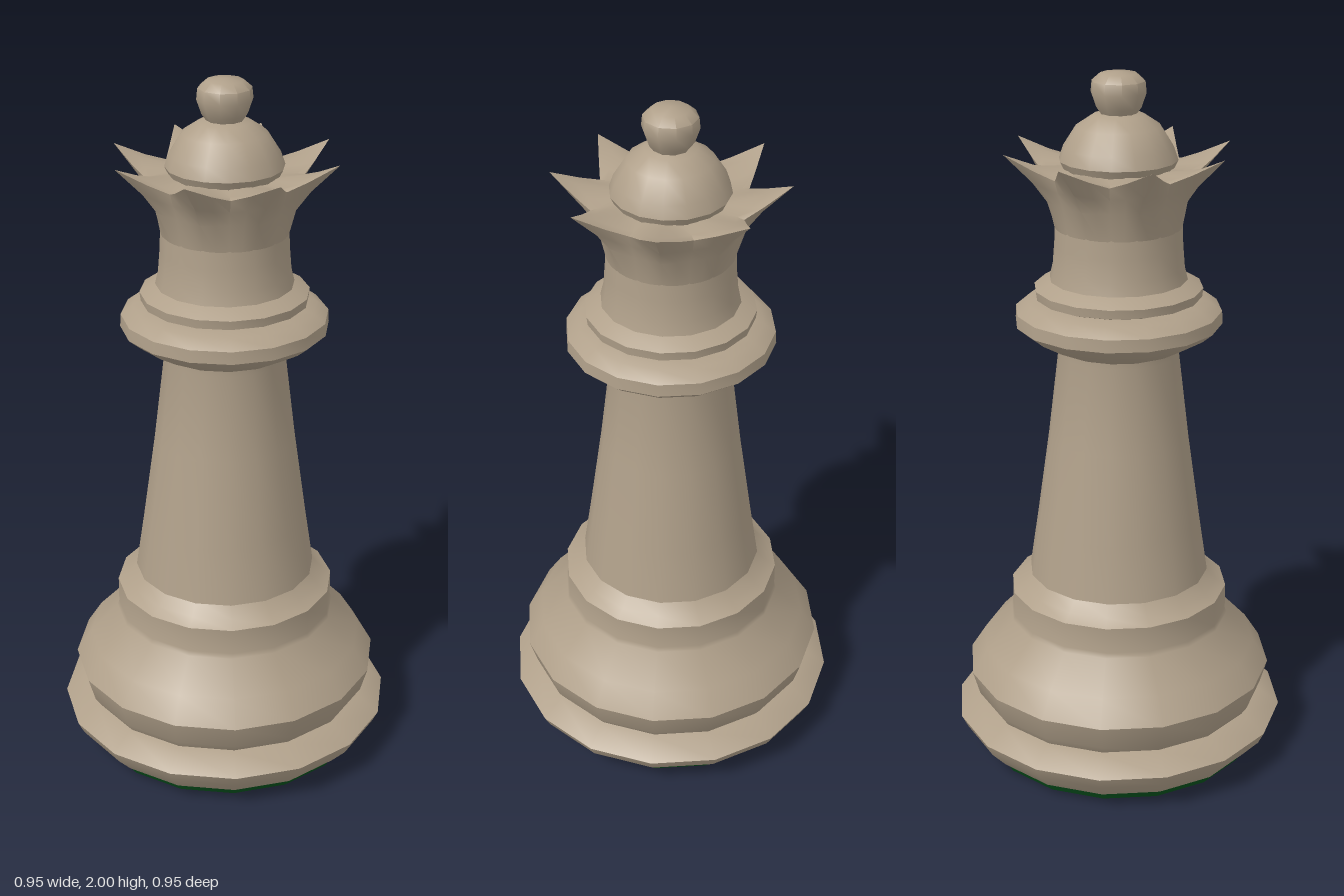
import * as THREE from 'three';
import { toCreasedNormals } from 'three/addons/utils/BufferGeometryUtils.js';

const wood = new THREE.MeshStandardMaterial({ color: 0xb0a08a });
wood.name = 'pale wood';
const felt = new THREE.MeshStandardMaterial({ color: 0x06501c });
felt.name = 'green felt';

const PHASE = THREE.MathUtils.degToRad(8.5);

// Profile of [radius, height] pairs, listed bottom to top
function turned(name, profile, segments = 16, material = wood, crease = 0.6) {
  const points = profile.map(([r, y]) => new THREE.Vector2(r, y));
  const geometry = new THREE.LatheGeometry(points, segments, PHASE);
  const mesh = new THREE.Mesh(toCreasedNormals(geometry, crease), material);
  mesh.name = name;
  return mesh;
}

// Flared crown: each row gives radius and height in the valley and at the tip
function makeCrown() {
  const rows = [
    { valley: [0.175, 1.58], tip: [0.175, 1.58] },
    { valley: [0.19, 1.66], tip: [0.2, 1.66] },
    { valley: [0.205, 1.7], tip: [0.24, 1.715] },
    { valley: [0.215, 1.735], tip: [0.318, 1.795] },
    { valley: [0.195, 1.738], tip: [0.25, 1.765] },
    { valley: [0.14, 1.745], tip: [0.14, 1.745] },
  ];
  const segments = 32;
  const geometry = new THREE.LatheGeometry(
    rows.map((row) => new THREE.Vector2(...row.valley)), segments, PHASE);
  const pos = geometry.attributes.position;
  for (let i = 0; i <= segments; i++) {
    const angle = PHASE + (i / segments) * Math.PI * 2;
    const weight = [1, 0.36, 0, 0.36][i % 4]; // eight points
    rows.forEach(({ valley, tip }, j) => {
      const r = THREE.MathUtils.lerp(valley[0], tip[0], weight);
      const y = THREE.MathUtils.lerp(valley[1], tip[1], weight);
      pos.setXYZ(i * rows.length + j, r * Math.sin(angle), y, r * Math.cos(angle));
    });
  }
  const mesh = new THREE.Mesh(toCreasedNormals(geometry, 0.6), wood);
  mesh.name = 'crown';
  return mesh;
}

export function createModel() {
  const model = new THREE.Group();
  model.name = 'chessQueen';
  model.add(
    // Felt pad under the foot
    turned('feltPad', [[0, 0], [0.395, 0.005], [0.415, 0.04], [0, 0.04]], 16, felt),
    // Foot rim
    turned('footRim', [[0, 0.035], [0.42, 0.035], [0.465, 0.085], [0.482, 0.12], [0.42, 0.165], [0.3, 0.17]]),
    // Bulging base and the step above it
    turned('base', [[0.405, 0.16], [0.425, 0.19], [0.445, 0.26], [0.4, 0.33], [0.32, 0.415],
      [0.315, 0.43], [0.315, 0.505], [0.285, 0.525], [0.255, 0.56], [0.2, 0.57]]),
    // Tapered stem
    turned('stem', [[0.262, 0.54], [0.235, 0.72], [0.2, 0.97], [0.17, 1.22], [0.175, 1.27]]),
    // Wide collar
    turned('collar', [[0.165, 1.235], [0.2, 1.25], [0.26, 1.285], [0.29, 1.31], [0.288, 1.345],
      [0.255, 1.37], [0.2, 1.38], [0.1, 1.38]]),
    // Thin ring above the collar
    turned('upperRing', [[0.19, 1.37], [0.232, 1.385], [0.235, 1.41], [0.2, 1.43], [0.15, 1.45]]),
    // Neck
    turned('neck', [[0.195, 1.42], [0.183, 1.47], [0.178, 1.53], [0.175, 1.6]]),
    makeCrown(),
    // Domed cap inside the crown
    turned('dome', [[0.145, 1.73], [0.162, 1.765], [0.15, 1.8], [0.115, 1.855], [0.07, 1.885], [0, 1.9]]),
    // Finial ball
    turned('finial', [[0.04, 1.875], [0.062, 1.905], [0.076, 1.945], [0.073, 1.975], [0.05, 1.995], [0, 2]], 10, wood, 0.9),
  );
  return model;
}
